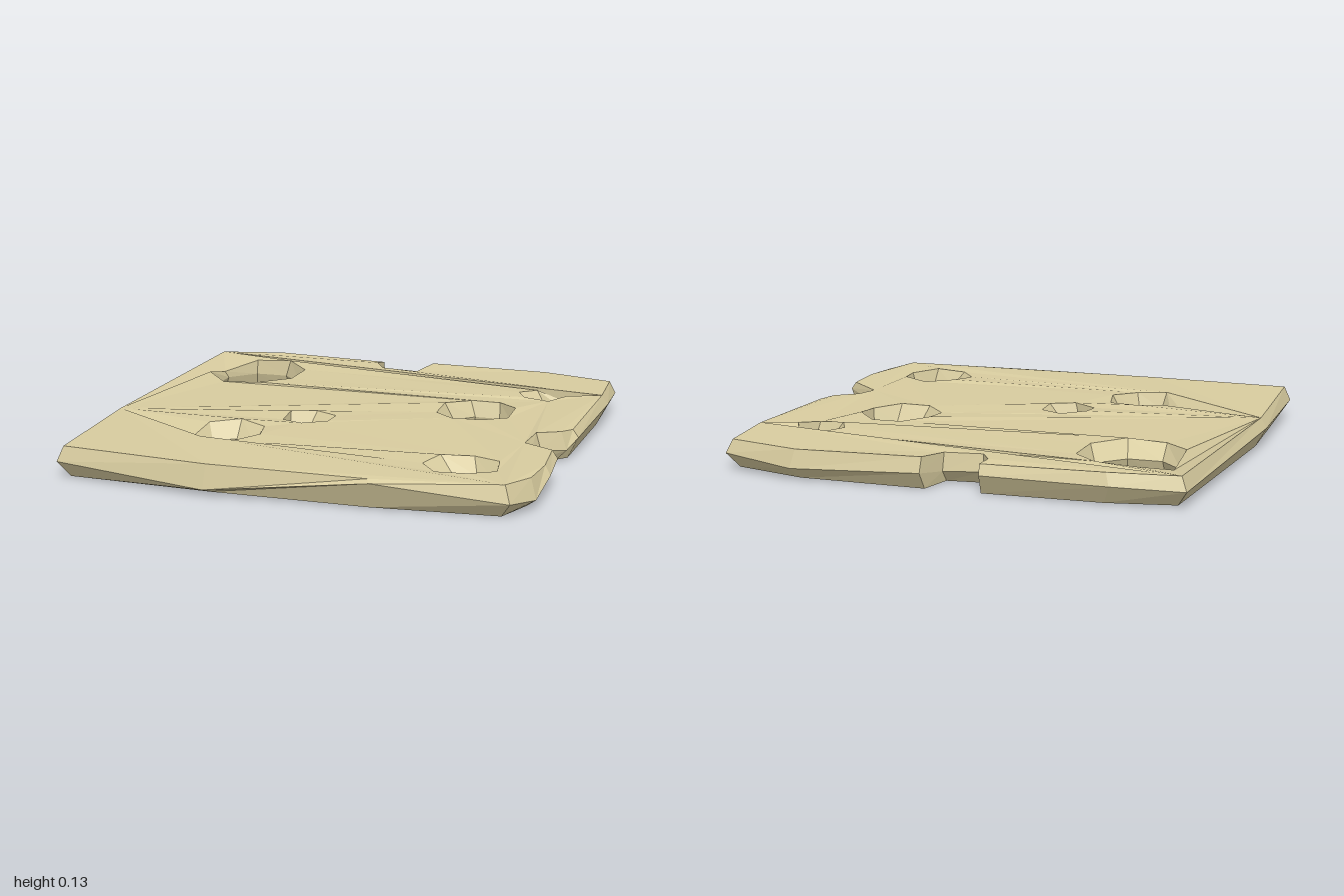
import * as THREE from 'three';

// Widest points of the outer edge, clockwise from above: x, z, height
const edge = [
  [-0.97, -0.95, 0.07], [-0.68, -1, 0.08],
  // back notch
  [-0.155, -0.99, 0.08], [-0.17, -0.93, 0.07], [-0.12, -0.845, 0.06],
  [0.05, -0.845, 0.05], [0.09, -0.99, 0.07],
  [0.64, -1, 0.05], [0.965, -0.91, 0.07], [0.99, -0.6, 0.09],
  // side notch
  [0.985, 0, 0.09], [0.95, 0.07, 0.05], [0.855, 0.13, 0.06],
  [0.84, 0.27, 0.07], [0.98, 0.38, 0.1],
  [1, 0.6, 0.09], [0.985, 0.78, 0.04], [0.92, 0.94, 0.06],
  [0.38, 0.995, 0.112], [-0.3, 0.99, 0.025], [-0.95, 0.93, 0.07], [-1, 0.24, 0.08],
];

// Holes: ellipses [x, z, radius x, radius z] at the waist and top rim;
// dip is the rim corner that sinks into a groove
const holes = [
  { waist: [-0.66, -0.625, 0.19, 0.205], rim: [-0.65, -0.595, 0.215, 0.245], sides: 8, phase: 0.39, dip: 4 },
  { waist: [0.737, -0.54, 0.075, 0.075], rim: [0.71, -0.54, 0.11, 0.1], sides: 6, phase: 0.1, dip: 5 },
  { waist: [0.515, -0.19, 0.142, 0.142], rim: [0.5, -0.18, 0.17, 0.18], sides: 8, phase: 0.39 },
  { waist: [-0.165, 0.165, 0.08, 0.08], rim: [-0.145, 0.145, 0.115, 0.115], sides: 6, phase: 0.5 },
  { waist: [-0.395, 0.465, 0.118, 0.12], rim: [-0.395, 0.45, 0.155, 0.168], sides: 7, phase: 0.2, dip: 3 },
  { waist: [0.695, 0.69, 0.107, 0.102], rim: [0.665, 0.675, 0.157, 0.147], sides: 7, phase: 0.3 },
];

const v = (x, y, z) => new THREE.Vector3(x, y, z);

// Slightly uneven heights of the two faces
const topY = (i) => 0.128 + 0.005 * Math.sin(i * 2.3);
const bottomY = (i) => 0.004 + 0.004 * Math.sin(i * 1.7 + 1);

// Elliptical ring of points, clockwise from above
function ring([x, z, rx, rz], { sides, phase }, heightAt, scale = 1) {
  return Array.from({ length: sides }, (_, i) => {
    const a = phase + (i / sides) * Math.PI * 2;
    return v(x + rx * scale * Math.cos(a), heightAt(i), z + rz * scale * Math.sin(a));
  });
}

// Band of quads between two closed rings; flip turns it to face into a hole
function addWall(out, upper, lower, flip) {
  upper.forEach((a, i) => {
    const j = (i + 1) % upper.length;
    const b = upper[j], c = lower[j], d = lower[i];
    out.push(...(flip ? [a, c, b, a, d, c] : [a, b, c, a, c, d]));
  });
}

// Face with holes, turned up or down
function addCap(out, rings, up) {
  const flat = rings.map((r) => r.map((p) => new THREE.Vector2(p.x, p.z)));
  const pts = rings.flat();
  for (const [i, j, k] of THREE.ShapeUtils.triangulateShape(flat[0], flat.slice(1))) {
    const a = pts[i], b = pts[j], c = pts[k];
    const ny = (b.z - a.z) * (c.x - a.x) - (b.x - a.x) * (c.z - a.z);
    out.push(...((ny > 0) === up ? [a, b, c] : [a, c, b]));
  }
}

export function createModel() {
  const group = new THREE.Group();
  group.name = 'cheeseSlice';
  const tris = [];

  // Outer rim: widest ring between inset top and bottom rings
  const top = edge.map(([x, z], i) => v(x * 0.975, topY(i), z * 0.98));
  const middle = edge.map(([x, z, y]) => v(x, y, z));
  const bottom = edge.map(([x, z], i) => v(x * 0.955, bottomY(i), z * 0.955));
  addWall(tris, top, middle, false);
  addWall(tris, middle, bottom, false);
  const tops = [top], bottoms = [bottom];

  // Hole walls: flared at the top and bottom, narrow in the middle
  holes.forEach((hole, h) => {
    const upper = ring(hole.rim, hole, (i) => (i === hole.dip ? 0.09 : topY(i + h)));
    const waist = ring(hole.waist, hole, () => 0.06);
    const lower = ring(hole.waist, hole, (i) => bottomY(i + h), 1.1);
    addWall(tris, upper, waist, true);
    addWall(tris, waist, lower, true);
    tops.push(upper);
    bottoms.push(lower);
  });

  // Top and bottom faces
  addCap(tris, tops, true);
  addCap(tris, bottoms, false);

  const geometry = new THREE.BufferGeometry().setFromPoints(tris);
  geometry.computeVertexNormals();
  const slice = new THREE.Mesh(geometry, new THREE.MeshStandardMaterial({ color: 0xd8cc9f, flatShading: true }));
  slice.name = 'slice';
  group.add(slice);
  return group;
}
